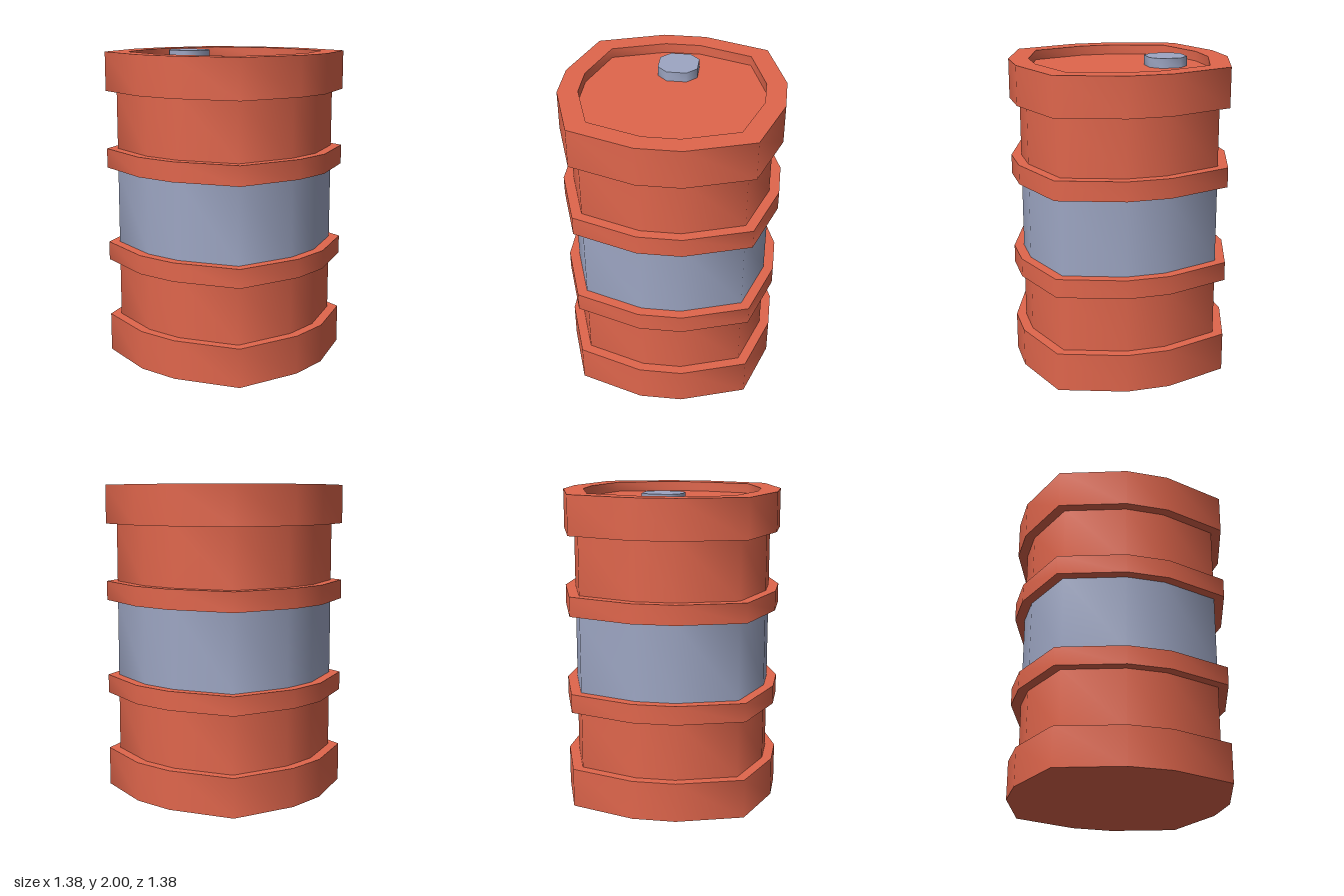
import * as THREE from 'three';

const red = new THREE.MeshStandardMaterial({ color: 0xe0664c });
red.name = 'red paint';
const blue = new THREE.MeshStandardMaterial({ color: 0x9da6c3 });
blue.name = 'blue grey metal';

// Repeats one quarter of a cross-section around the vertical axis
function fourfold(quarter) {
  const points = [];
  let turn = quarter;
  for (let i = 0; i < 4; i++) {
    points.push(...turn);
    turn = turn.map(([x, z]) => [-z, x]);
  }
  return points;
}

const drumOutline = fourfold([[1, 0.2], [0.8, 0.8], [0.2, 1]]);
const capOutline = fourfold([[1, 0.5], [0.5, 1]]);

// Sweeps an outline along a [scale, y] profile: smooth around, sharp between bands
function loft(name, material, outline, profile) {
  const positions = [], index = [], n = outline.length;
  for (let p = 0; p < profile.length - 1; p++) {
    const base = positions.length / 3;
    for (const [s, y] of [profile[p], profile[p + 1]]) {
      for (const [x, z] of outline) positions.push(x * s, y, z * s);
    }
    for (let i = 0; i < n; i++) {
      const j = (i + 1) % n;
      const a = base + i, b = base + j, c = a + n, d = b + n;
      if (profile[p + 1][0] > 0) index.push(a, c, d);
      else index.push(a, c, b);
      if (profile[p][0] > 0 && profile[p + 1][0] > 0) index.push(a, d, b);
    }
  }
  const geometry = new THREE.BufferGeometry();
  geometry.setAttribute('position', new THREE.Float32BufferAttribute(positions, 3));
  geometry.setIndex(index);
  geometry.computeVertexNormals();
  const mesh = new THREE.Mesh(geometry, material);
  mesh.name = name;
  return mesh;
}

export function createModel() {
  const group = new THREE.Group();
  group.name = 'barrel';
  const body = 0.625, rim = 0.6875, inner = 0.5625;

  group.add(
    // Bottom rim, lower wall and lower hoop
    loft('lowerShell', red, drumOutline, [
      [0, 0], [rim, 0], [rim, 0.25], [body, 0.25], [body, 0.63],
      [rim, 0.63], [rim, 0.75], [body, 0.75],
    ]),
    // Coloured middle band
    loft('middleBand', blue, drumOutline, [[body, 0.75], [body, 1.25]]),
    // Upper hoop, upper wall, top rim and recessed lid
    loft('upperShell', red, drumOutline, [
      [body, 1.25], [rim, 1.25], [rim, 1.375], [body, 1.375], [body, 1.75],
      [rim, 1.75], [rim, 2], [inner, 2], [inner, 1.9375], [0, 1.9375],
    ]),
  );

  // Filler cap on the lid
  const cap = loft('fillerCap', blue, capOutline, [[0.125, 1.9375], [0.125, 2], [0, 2]]);
  cap.position.x = -0.3125;
  group.add(cap);
  return group;
}
